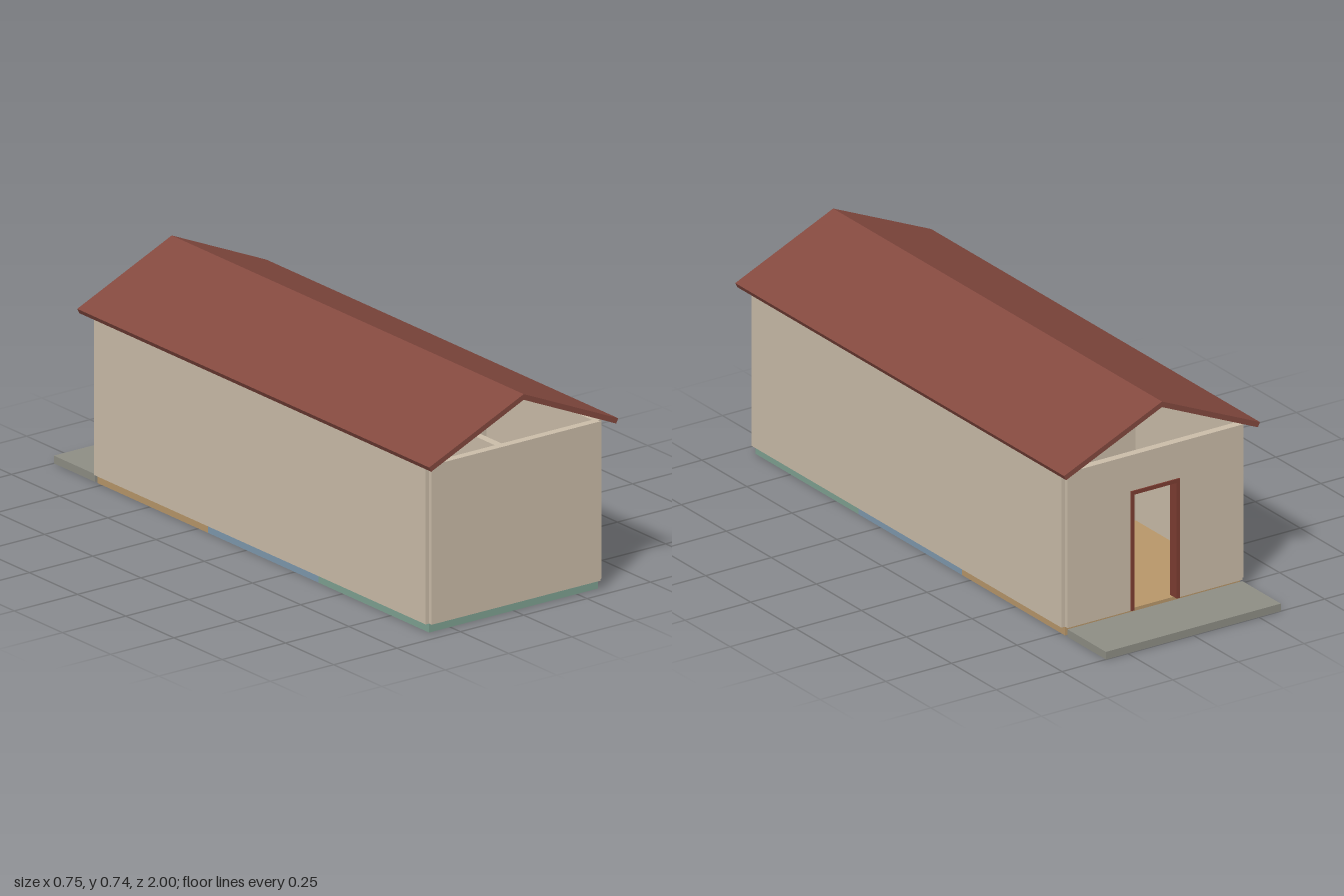
import * as THREE from 'three';

const mat = (name, color) => Object.assign(new THREE.MeshStandardMaterial({ color }), { name });

const W = 0.333, FRONT = 0.947, BACK = -0.773; // room outline on wall centre lines
const T = 0.027, BASE = 0.03, TOP = 0.563;     // wall thickness, bottom and top
const DOOR = 0.093, DOOR_TOP = 0.44, TRIM = 0.013;

export function createModel() {
  const model = new THREE.Group();
  model.name = 'house';
  const wallMat = mat('wallBeige', 0xcbbda9);
  const roofMat = mat('roofRed', 0x84493f);
  const frameMat = mat('frameRed', 0x7d3d32);
  const porchMat = mat('porchGrey', 0x8e8e85);
  const floorMats = [mat('floorGreen', 0x7fa292), mat('floorBlue', 0x7f99ae), mat('floorOchre', 0xb8976a)];

  const add = (name, geometry, material, parent = model) => {
    const mesh = new THREE.Mesh(geometry, material);
    mesh.name = name;
    parent.add(mesh);
    return mesh;
  };
  // box given by its limits on each axis
  const box = (name, material, x0, x1, y0, y1, z0, z1, parent) =>
    add(name, new THREE.BoxGeometry(x1 - x0, y1 - y0, z1 - z0), material, parent)
      .position.set((x0 + x1) / 2, (y0 + y1) / 2, (z0 + z1) / 2);
  const extrude = (points, depth) => new THREE.ExtrudeGeometry(
    new THREE.Shape(points.map(([x, y]) => new THREE.Vector2(x, y))), { depth, bevelEnabled: false });

  // floor slabs of the three rooms
  const room = (FRONT - BACK) / 3;
  floorMats.forEach((m, i) =>
    box('floor' + (i + 1), m, -W, W, 0, BASE, FRONT - room * (i + 1), FRONT - room * i));
  box('porch', porchMat, -W, W, 0, 0.026, -1, BACK - T / 2);

  // outer walls without openings
  box('frontWall', wallMat, -W, W, BASE, TOP, FRONT - T / 2, FRONT + T / 2);
  for (const s of [-1, 1])
    box(s > 0 ? 'leftWall' : 'rightWall', wallMat, s * W - T / 2, s * W + T / 2, BASE, TOP, BACK, FRONT);

  // cross wall with a framed doorway in its middle
  const doorWall = (name, x0, x1, z) => {
    const group = new THREE.Group();
    group.name = name;
    model.add(group);
    const c = (x0 + x1) / 2, d = 0.018;
    add('wall', extrude([[x0, BASE], [c - DOOR, BASE], [c - DOOR, DOOR_TOP], [c + DOOR, DOOR_TOP],
      [c + DOOR, BASE], [x1, BASE], [x1, TOP], [x0, TOP]], T), wallMat, group).position.z = z - T / 2;
    for (const s of [-1, 1]) {
      const m = c + s * (DOOR - TRIM / 2);
      box('doorJamb', frameMat, m - TRIM / 2, m + TRIM / 2, BASE, DOOR_TOP, z - d, z + d, group);
    }
    box('doorHead', frameMat, c - DOOR + TRIM, c + DOOR - TRIM, DOOR_TOP - TRIM, DOOR_TOP, z - d, z + d, group);
  };
  doorWall('backWall', -W, W, BACK);
  doorWall('backPartition', -W, W, FRONT - 2 * room);
  doorWall('frontPartition', -W, W, FRONT - room);

  // small corner room behind the front wall
  const sideX = -0.05, sideZ = 0.57;
  doorWall('cornerRoomWall', -W, sideX, sideZ);
  box('cornerRoomSide', wallMat, sideX - T / 2, sideX + T / 2, BASE, TOP, sideZ, FRONT);

  // gable roof, one slab per slope
  const half = [[0, 0.72], [0.365, 0.56], [0.373, 0.576], [0, 0.739]];
  for (const s of [-1, 1])
    add(s > 0 ? 'roofLeft' : 'roofRight', extrude(half.map(([x, y]) => [s * x, y]), 1.826), roofMat)
      .position.z = -0.826;

  return model;
}
